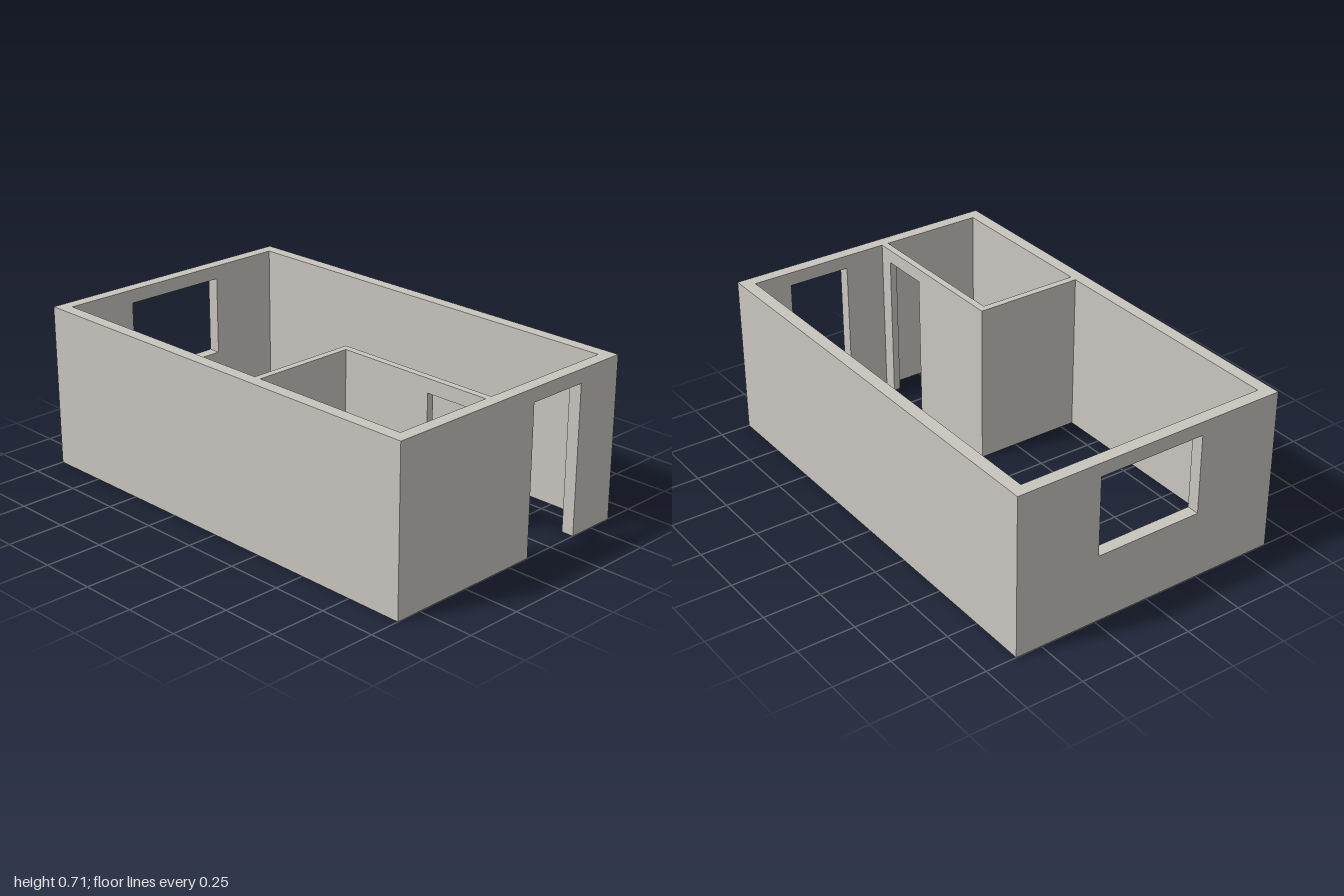
import * as THREE from 'three';

const W = 0.615, L = 1, H = 0.71, T = 0.055, P = 0.031; // half width, half length, height, wall thicknesses
const HEAD = 0.65; // top of every opening

// Wall elevation from a to b, with an optional doorway [from, to] cut up from the floor
function elevation(a, b, door) {
  const pts = [[a, 0]];
  if (door) pts.push([door[0], 0], [door[0], HEAD], [door[1], HEAD], [door[1], 0]);
  pts.push([b, 0], [b, H], [a, H]);
  return new THREE.Shape(pts.map(([x, y]) => new THREE.Vector2(x, y)));
}

export function createModel() {
  const group = new THREE.Group();
  const plaster = new THREE.MeshStandardMaterial({ color: 0xc9c5bf });
  plaster.name = 'warm grey plaster';

  function addWall(name, shape, thickness) {
    const geometry = new THREE.ExtrudeGeometry(shape, { depth: thickness, bevelEnabled: false });
    const mesh = new THREE.Mesh(geometry, plaster);
    mesh.name = name;
    group.add(mesh);
    return mesh;
  }

  // Front wall with the entrance
  addWall('frontWall', elevation(-W, W, [0.11, 0.39]), T).position.z = L - T;

  // Back wall with a centred window
  const back = elevation(-W, W);
  back.holes.push(new THREE.Path([[-0.24, 0.3], [-0.24, HEAD], [0.24, HEAD], [0.24, 0.3]]
    .map(([x, y]) => new THREE.Vector2(x, y))));
  addWall('backWall', back, T).position.z = -L;

  // Walls running front to back: the profile's x becomes z, thickness grows towards -x
  function addLongWall(name, shape, thickness, outerX) {
    const wall = addWall(name, shape, thickness);
    wall.rotation.y = -Math.PI / 2;
    wall.position.x = outerX;
  }
  addLongWall('leftWall', elevation(-L + T, L - T), T, W);
  addLongWall('rightWall', elevation(-L + T, L - T), T, -W + T);

  // Small corner room: side partition with a doorway, and the partition behind it
  addLongWall('roomSidePartition', elevation(0.188 + P, L - T, [0.657, 0.882]), P, -0.074);
  addWall('roomBackPartition', elevation(-W + T, -0.074), P).position.z = 0.188;

  return group;
}
